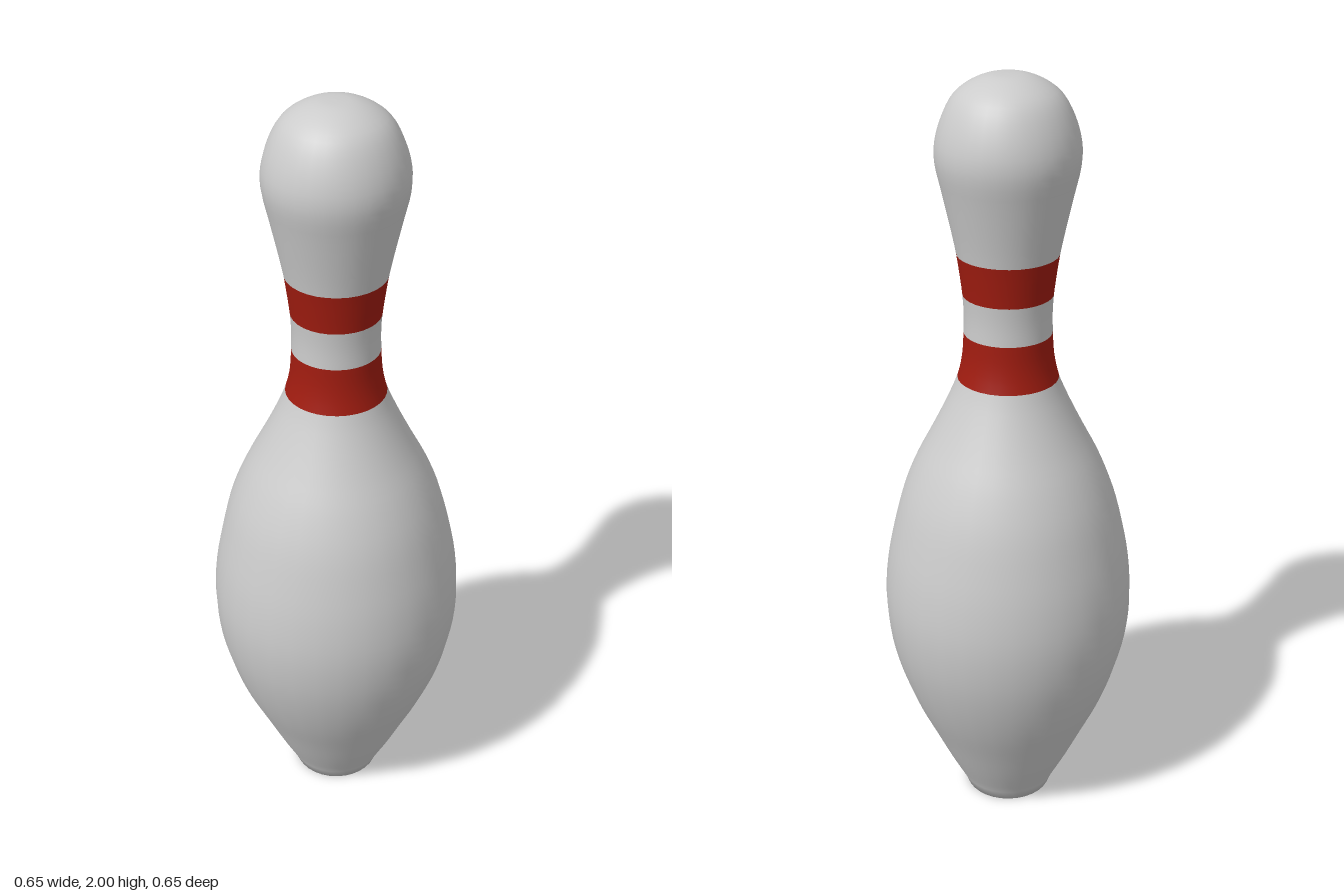
import * as THREE from 'three';

// Profile knots [radius, height], foot to crown
const KNOTS = [
  [0.127, 0.03], [0.168, 0.11], [0.21, 0.2], [0.256, 0.3], [0.292, 0.4], [0.316, 0.5], [0.326, 0.61],
  [0.318, 0.72], [0.299, 0.82], [0.273, 0.92], [0.237, 1.01], [0.196, 1.09], [0.157, 1.17], [0.128, 1.24],
  [0.115, 1.3], [0.111, 1.36], [0.11, 1.41], [0.113, 1.46], [0.119, 1.51], [0.127, 1.565], [0.14, 1.63],
  [0.16, 1.72], [0.175, 1.79], [0.174, 1.84], [0.157, 1.9], [0.129, 1.95], [0.09, 1.98], [0.045, 1.997], [0, 2],
];
const SEGMENTS = 32;
const STEPS = 3; // samples between knots

export function createModel() {
  const pin = new THREE.Group();
  pin.name = 'bowlingPin';
  const grey = new THREE.MeshStandardMaterial({ color: 0xcccccc });
  const red = new THREE.MeshStandardMaterial({ color: 0xa01c10 });

  const curve = new THREE.CatmullRomCurve3(KNOTS.map(([r, y]) => new THREE.Vector3(r, y, 0)));
  const last = KNOTS.length - 1;
  const knotAt = (height) => KNOTS.findIndex(([, y]) => y === height);

  // Revolve the stretch of the profile between two knots
  const addSection = (name, from, to, material, start = []) => {
    const points = [...start];
    for (let i = from * STEPS; i <= to * STEPS; i++) {
      const p = curve.getPoint(i / (last * STEPS));
      points.push(new THREE.Vector2(Math.max(p.x, 0), p.y));
    }
    const mesh = new THREE.Mesh(new THREE.LatheGeometry(points, SEGMENTS), material);
    mesh.name = name;
    pin.add(mesh);
  };

  // Closed foot below the belly
  const foot = [new THREE.Vector2(0, 0), new THREE.Vector2(0.115, 0)];

  addSection('belly', 0, knotAt(1.24), grey, foot);
  addSection('lowerStripe', knotAt(1.24), knotAt(1.36), red);
  addSection('neck', knotAt(1.36), knotAt(1.46), grey);
  addSection('upperStripe', knotAt(1.46), knotAt(1.565), red);
  addSection('head', knotAt(1.565), last, grey);
  return pin;
}
